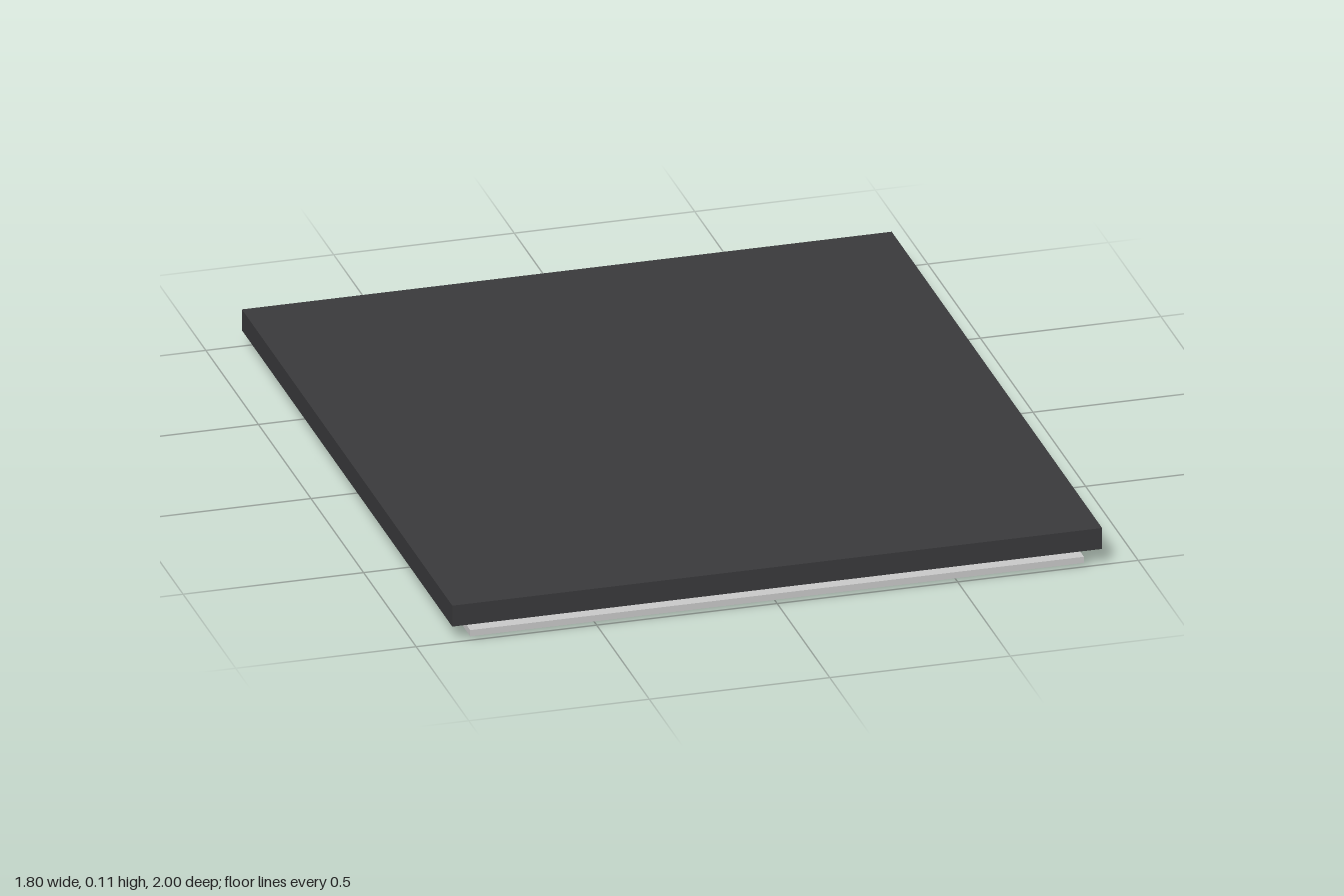
import * as THREE from 'three';

const grey = new THREE.MeshStandardMaterial({ color: 0xcccccc });
const dark = new THREE.MeshStandardMaterial({ color: 0x3a3a3c });

function add(parent, name, geometry, material, x, y, z) {
  const mesh = new THREE.Mesh(geometry, material);
  mesh.name = name;
  mesh.position.set(x, y, z);
  parent.add(mesh);
  return mesh;
}

export function createModel() {
  const model = new THREE.Group();
  model.name = 'roofWithCeilingPanels';

  // Dark roof slab
  add(model, 'roofSlab', new THREE.BoxGeometry(1.8, 0.061, 2), dark, 0, 0.0765, 0);

  // Ceiling panels, flush with the slab at the front and set in at the back
  const pitch = 0.39, gap = 0.002;
  const panelGeometry = new THREE.BoxGeometry(1.7, 0.018, pitch - gap);

  // Downlight trim: a bevelled ring, revolved, with a slightly recessed lens
  const profile = [[0.034, 0.011], [0.034, 0.002], [0.037, 0], [0.046, 0], [0.05, 0.004], [0.05, 0.011]]
    .map(([r, y]) => new THREE.Vector2(r, y));
  const trimGeometry = new THREE.LatheGeometry(profile, 32);
  trimGeometry.setIndex(Array.from(trimGeometry.index.array).reverse());
  trimGeometry.computeVertexNormals();
  const trimMaterial = grey.clone();
  trimMaterial.side = THREE.DoubleSide;
  const lensGeometry = new THREE.CylinderGeometry(0.034, 0.034, 0.006, 32);

  for (let i = 0; i < 5; i++) {
    const z = 1 - pitch * (i + 0.5);
    const bay = new THREE.Group();
    bay.name = `ceilingBay${i + 1}`;
    bay.position.z = z;
    add(bay, 'ceilingPanel', panelGeometry, grey, 0, 0.02, 0);
    for (const side of [-1, 1]) {
      add(bay, 'downlightTrim', trimGeometry, trimMaterial, side * 0.437, 0, 0);
      add(bay, 'downlightLens', lensGeometry, grey, side * 0.437, 0.008, 0);
    }
    model.add(bay);
  }
  return model;
}
